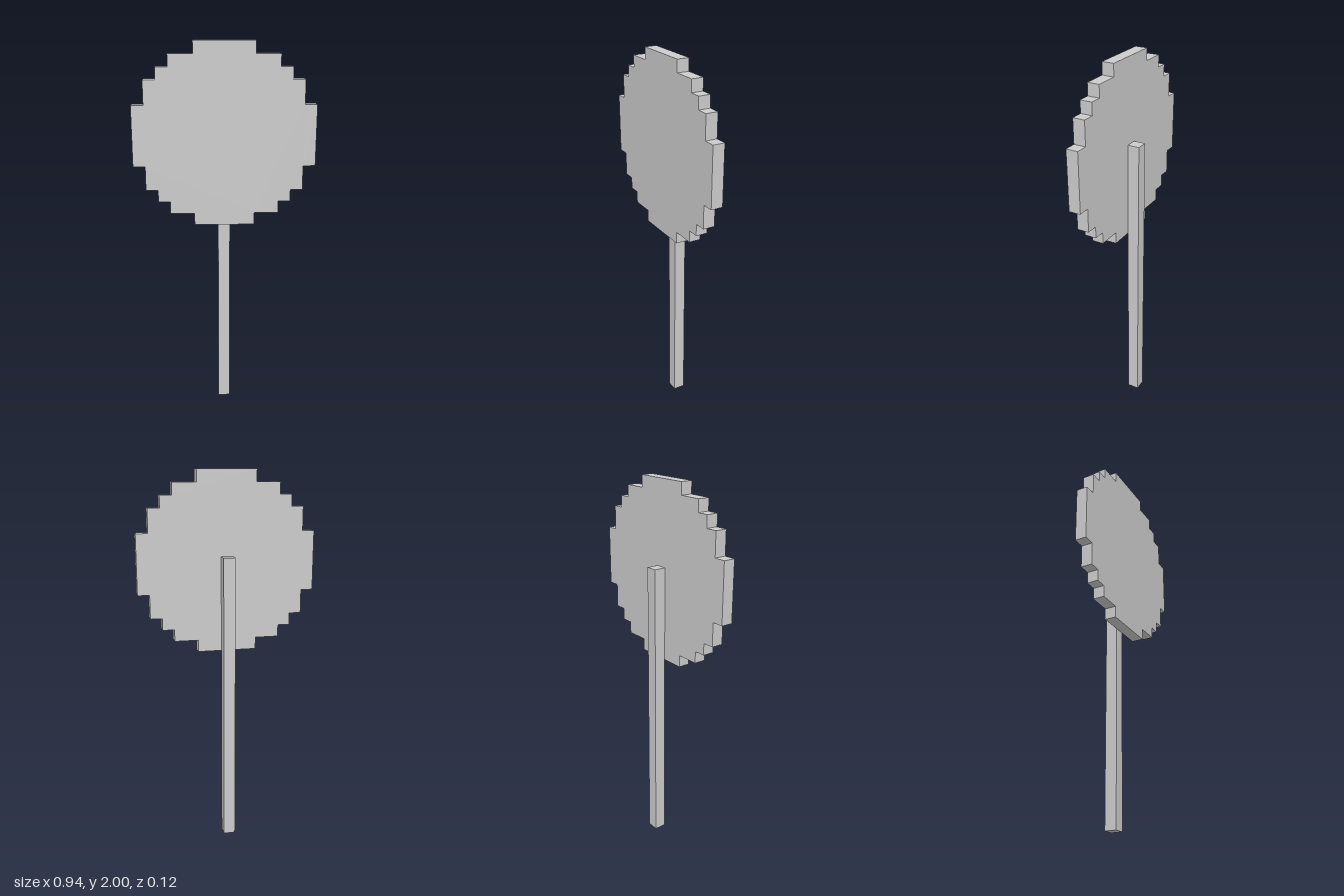
import * as THREE from 'three';

const U = 0.0625; // one voxel

export function createModel() {
  const group = new THREE.Group();
  const material = new THREE.MeshStandardMaterial({ color: 0xcccccc, flatShading: true });

  // Stepped outline of one quarter of the disc, in voxels from its centre
  const quarter = [
    [7.5, 2.5], [6.5, 2.5], [6.5, 4.5], [5.5, 4.5], [5.5, 5.5],
    [4.5, 5.5], [4.5, 6.5], [2.5, 6.5], [2.5, 7.5],
  ];
  const mirrored = (sx, sy) => {
    const points = quarter.map(([x, y]) => new THREE.Vector2(sx * x * U, sy * y * U));
    return sx * sy < 0 ? points.reverse() : points;
  };
  const outline = new THREE.Shape([
    ...mirrored(1, 1), ...mirrored(-1, 1), ...mirrored(-1, -1), ...mirrored(1, -1),
  ]);

  // Disc, one voxel thick, in front of the stick
  const disc = new THREE.Mesh(
    new THREE.ExtrudeGeometry(outline, { depth: U, bevelEnabled: false }), material);
  disc.name = 'disc';
  disc.position.y = 24.5 * U;
  group.add(disc);

  // Square stick, reaching just past the centre of the disc's back
  const stick = new THREE.Mesh(new THREE.BoxGeometry(U, 25 * U, U), material);
  stick.name = 'stick';
  stick.position.set(0, 12.5 * U, -U / 2);
  group.add(stick);

  return group;
}
